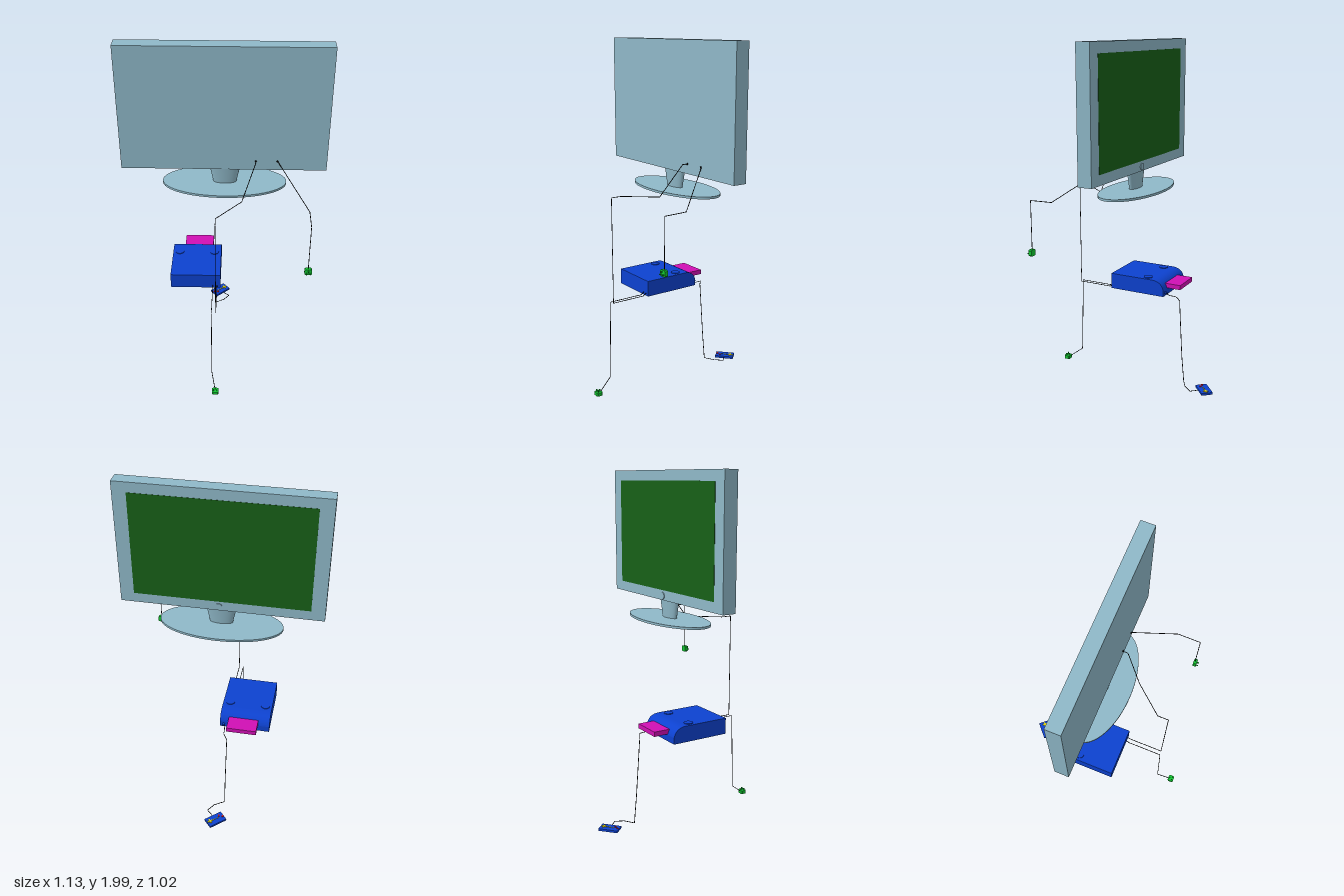
import * as THREE from 'three';

const mat = (color) => new THREE.MeshStandardMaterial({ color });
const COLORS = {
  casing: mat(0x8fb8c8), screen: mat(0x186018), blue: mat(0x0d42d0), magenta: mat(0xd010b4),
  green: mat(0x12c832), black: mat(0x0a0a0a), yellow: mat(0xd8cc10), red: mat(0xe01414),
};

export function createModel() {
  const model = new THREE.Group();
  model.name = 'televisionAndConsole';

  const add = (parent, name, geometry, material, x = 0, y = 0, z = 0) => {
    const mesh = new THREE.Mesh(geometry, material);
    mesh.name = name;
    mesh.position.set(x, y, z);
    parent.add(mesh);
    return mesh;
  };
  // Box given by its lower and upper limits on each axis
  const box = (parent, name, material, [x0, x1], [y0, y1], [z0, z1]) =>
    add(parent, name, new THREE.BoxGeometry(x1 - x0, y1 - y0, z1 - z0), material,
      (x0 + x1) / 2, (y0 + y1) / 2, (z0 + z1) / 2);

  // Thin cable with sharp bends along a list of points
  const cable = (name, points) => {
    const path = new THREE.CurvePath();
    const group = new THREE.Group();
    group.name = name;
    const p = points.map((q) => new THREE.Vector3(...q));
    for (let i = 1; i < p.length; i++) {
      path.add(new THREE.LineCurve3(p[i - 1], p[i]));
      add(group, 'cableSegment', new THREE.TubeGeometry(path.curves[i - 1], 1, 0.002, 6), COLORS.black);
    }
    model.add(group);
  };

  // Television; the screen looks toward -z
  const tv = new THREE.Group();
  tv.name = 'television';
  model.add(tv);
  box(tv, 'casing', COLORS.casing, [-0.567, 0.563], [1.285, 2], [-0.062, 0.018]);
  box(tv, 'screen', COLORS.screen, [-0.49, 0.486], [1.342, 1.943], [-0.0635, -0.05]);
  const button = add(tv, 'powerButton', new THREE.CylinderGeometry(0.02, 0.02, 0.004, 24),
    COLORS.casing, 0.012, 1.31, -0.064);
  button.rotation.x = Math.PI / 2;
  const neck = add(tv, 'neck', new THREE.CylinderGeometry(0.086, 0.064, 0.105, 32),
    COLORS.casing, 0.004, 1.235, -0.02);
  neck.scale.z = 0.38;
  const base = add(tv, 'base', new THREE.CylinderGeometry(0.347, 0.347, 0.013, 64),
    COLORS.casing, 0.002, 1.179, -0.028);
  base.scale.z = 0.47;

  // Console: side profile with a rounded upper back edge, extruded across
  const gameConsole = new THREE.Group();
  gameConsole.name = 'console';
  model.add(gameConsole);
  const profile = new THREE.Shape();
  profile.moveTo(0.155, 0.548);
  profile.lineTo(0.155, 0.64);
  profile.lineTo(-0.115, 0.64);
  profile.quadraticCurveTo(-0.175, 0.638, -0.188, 0.585);
  profile.lineTo(-0.188, 0.548);
  const body = add(gameConsole, 'consoleBody',
    new THREE.ExtrudeGeometry(profile, { depth: 0.292, bevelEnabled: false, curveSegments: 10 }),
    COLORS.blue, -0.018);
  body.rotation.y = -Math.PI / 2;
  for (const x of [-0.27, -0.06]) {
    add(gameConsole, 'consoleButton', new THREE.CylinderGeometry(0.026, 0.026, 0.006, 24),
      COLORS.blue, x, 0.641, -0.07);
  }
  box(gameConsole, 'cartridge', COLORS.magenta, [-0.243, -0.07], [0.588, 0.615], [-0.272, -0.175]);
  const connector = add(gameConsole, 'controllerConnector',
    new THREE.CylinderGeometry(0.003, 0.008, 0.02, 8), COLORS.blue, -0.04, 0.568, -0.196);
  connector.rotation.x = -Math.PI / 2;

  // Controller
  const pad = new THREE.Group();
  pad.name = 'controller';
  pad.position.set(-0.038, 0, -0.448);
  pad.rotation.y = 0.73;
  model.add(pad);
  box(pad, 'controllerBody', COLORS.blue, [-0.0565, 0.0565], [0.006, 0.019], [-0.0335, 0.0335]);
  for (const turn of [0, Math.PI / 2]) {
    const arm = add(pad, 'directionPad', new THREE.BoxGeometry(0.029, 0.006, 0.009),
      COLORS.yellow, 0.036, 0.02, 0.002);
    arm.rotation.y = turn;
  }
  for (const x of [-0.017, 0, 0.014]) {
    add(pad, 'menuButton', new THREE.BoxGeometry(0.01, 0.004, 0.004), COLORS.yellow, x, 0.02, 0.001);
  }
  for (const [x, z] of [[-0.047, -0.005], [-0.03, 0.011]]) {
    add(pad, 'actionButton', new THREE.CylinderGeometry(0.006, 0.006, 0.006, 16), COLORS.red, x, 0.02, z);
  }

  // Power plugs: chamfered block with three prongs toward +z
  const plug = (name, x, y, z) => {
    const group = new THREE.Group();
    group.name = name;
    group.position.set(x, y, z);
    const s = new THREE.Shape();
    [[-0.02, -0.012], [-0.014, -0.018], [0.014, -0.018], [0.02, -0.012],
      [0.02, 0.012], [0.014, 0.018], [-0.014, 0.018], [-0.02, 0.012]]
      .forEach(([a, b], i) => (i ? s.lineTo(a, b) : s.moveTo(a, b)));
    add(group, 'plugBody', new THREE.ExtrudeGeometry(s, { depth: 0.02, bevelEnabled: false }), COLORS.green);
    for (const [px, py] of [[-0.01, -0.006], [0.01, -0.006], [0, 0.009]]) {
      box(group, 'plugProng', COLORS.green, [px - 0.002, px + 0.002], [py - 0.003, py + 0.003], [0.02, 0.033]);
    }
    model.add(group);
    return group;
  };
  plug('televisionPlug', 0.465, 0.867, 0.372);
  const lowerPlug = plug('consolePlug', -0.04, 0.016, 0.488);
  lowerPlug.rotation.x = -Math.PI / 2;

  // Cables
  cable('televisionPowerCable', [[0.292, 1.34, 0.015], [0.465, 1.163, 0.245],
    [0.465, 1.16, 0.38], [0.465, 0.88, 0.38]]);
  cable('videoCable', [[0.174, 1.34, 0.015], [0.172, 1.34, 0.05], [0.1, 1.16, 0.153],
    [-0.038, 1.16, 0.314], [-0.038, 1.16, 0.377], [-0.038, 0.55, 0.377],
    [-0.038, 0.55, 0.175], [-0.038, 0.567, 0.15]]);
  cable('consolePowerCable', [[-0.063, 0.567, 0.15], [-0.063, 0.55, 0.175], [-0.063, 0.55, 0.38],
    [-0.063, 0.09, 0.395], [-0.042, 0.03, 0.475]]);
  cable('controllerCable', [[-0.04, 0.57, -0.185], [-0.05, 0.551, -0.213], [-0.053, 0.55, -0.255],
    [-0.073, 0.52, -0.268], [-0.068, 0.18, -0.29], [-0.068, 0.022, -0.305], [-0.01, 0.02, -0.34],
    [0.023, 0.016, -0.386], [-0.013, 0.014, -0.42]]);
  for (const x of [0.174, 0.292]) {
    add(model, 'socket', new THREE.SphereGeometry(0.005, 10, 8), COLORS.black, x, 1.34, 0.02);
  }

  return model;
}
